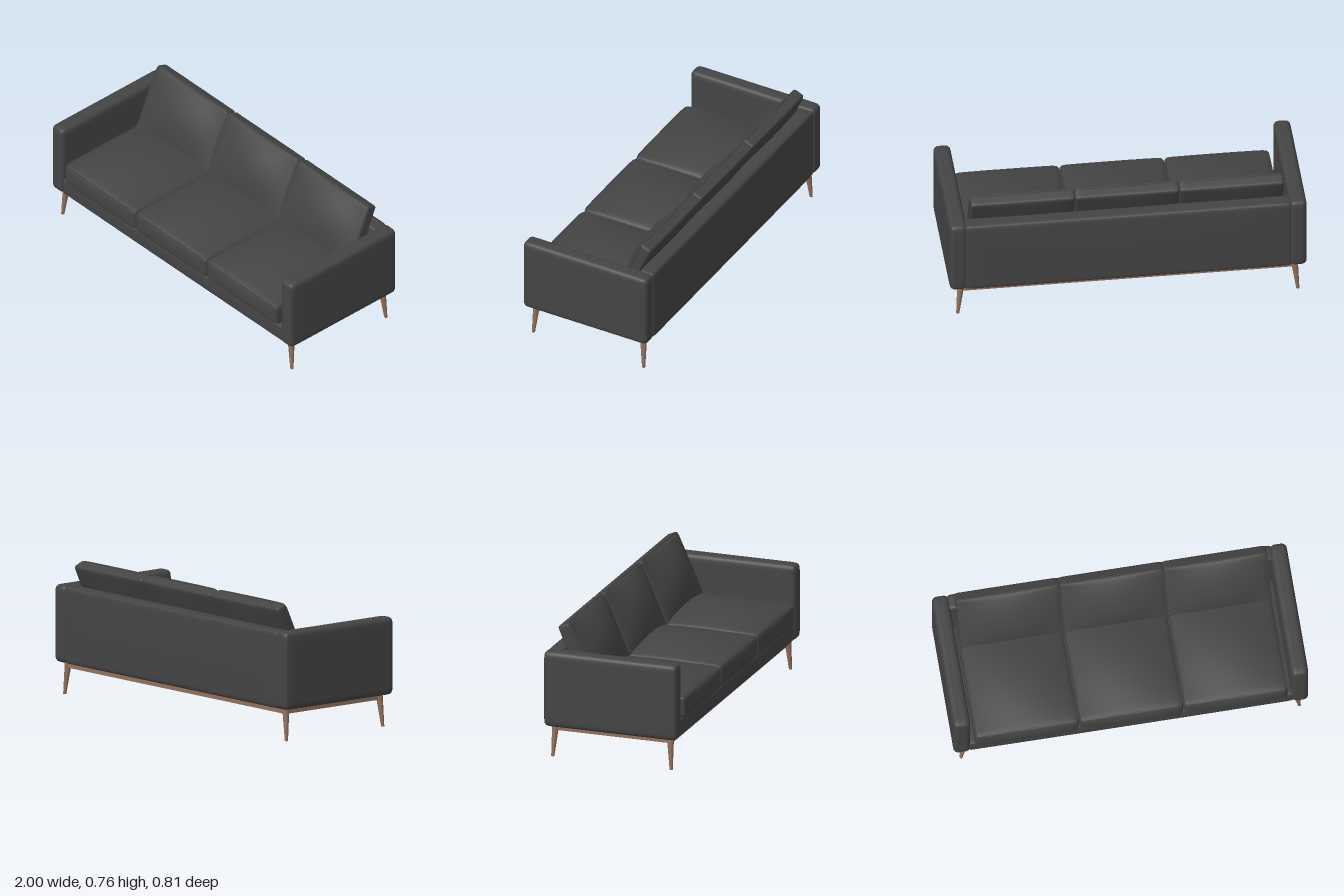
import * as THREE from 'three';
import { mergeVertices } from 'three/addons/utils/BufferGeometryUtils.js';

const fabric = new THREE.MeshStandardMaterial({ color: 0x444444 });
fabric.name = 'charcoalFabric';
const wood = new THREE.MeshStandardMaterial({ color: 0x92705a });
wood.name = 'walnutWood';
const lining = new THREE.MeshStandardMaterial({ color: 0x282828 });
lining.name = 'darkLining';

// Soft box: rounded edges of radius r, with a crown bulging each face along x, y, z.
// crown = { px, nx, py, ny, pz, nz } heights
function softBox(w, h, d, r, crown = {}) {
  let g = new THREE.BoxGeometry(2, 2, 2, 20, 20, 20);
  g.deleteAttribute('uv');
  g.deleteAttribute('normal');
  g = mergeVertices(g);
  const p = g.attributes.position;
  const half = [w / 2, h / 2, d / 2];
  const names = ['x', 'y', 'z'];
  const v = new THREE.Vector3();
  const core = new THREE.Vector3();
  for (let i = 0; i < p.count; i++) {
    v.fromBufferAttribute(p, i);
    // gather the rows near the edges, then round them
    names.forEach((n, k) => {
      v[n] = Math.sin(v[n] * Math.PI / 2) * half[k];
      core[n] = THREE.MathUtils.clamp(v[n], -half[k] + r, half[k] - r);
    });
    v.sub(core);
    if (v.lengthSq() > 0) v.setLength(r);
    v.add(core);
    const f = names.map((n, k) => v[n] / half[k]);
    const lift = f.map((a, k) => {
      const b = f[(k + 1) % 3], c = f[(k + 2) % 3];
      const height = crown[(a > 0 ? 'p' : 'n') + names[k]] || 0;
      return a * Math.abs(a) * (1 - b * b) * (1 - c * c) * height;
    });
    p.setXYZ(i, v.x + lift[0], v.y + lift[1], v.z + lift[2]);
  }
  g.computeVertexNormals();
  return g;
}

// Thin welt following a rounded rectangle in the local xy plane
function welt(w, h, r) {
  const pts = [];
  for (let q = 0; q < 4; q++) {
    const sx = q === 0 || q === 3 ? 1 : -1, sy = q < 2 ? 1 : -1;
    for (let i = 0; i <= 4; i++) {
      const a = (q + i / 4) * Math.PI / 2;
      pts.push(new THREE.Vector3(
        sx * (w / 2 - r) + Math.cos(a) * r, sy * (h / 2 - r) + Math.sin(a) * r, 0));
    }
  }
  const curve = new THREE.CatmullRomCurve3(pts, true, 'centripetal');
  return new THREE.TubeGeometry(curve, 120, 0.004, 6, true);
}

export function createModel() {
  const sofa = new THREE.Group();
  sofa.name = 'sofa';
  const add = (name, geo, mat, x, y, z, parent = sofa) => {
    const m = new THREE.Mesh(geo, mat);
    m.name = name;
    m.position.set(x, y, z);
    parent.add(m);
    return m;
  };

  // Upholstered frame
  add('seatBase', softBox(1.83, 0.1, 0.74, 0.015, { pz: 0.004 }), fabric, 0, 0.231, 0.008);
  add('backPanel', softBox(1.83, 0.435, 0.095, 0.022, { nz: 0.004 }), fabric, 0, 0.398, -0.355);
  const armGeo = softBox(0.096, 0.44, 0.79, 0.03);
  for (const s of [-1, 1]) {
    add(s > 0 ? 'leftArm' : 'rightArm', armGeo, fabric, s * 0.952, 0.4, -0.008);
  }
  add('underside', new THREE.BoxGeometry(1.84, 0.006, 0.72), lining, 0, 0.18, -0.008);

  // Three seat cushions and three leaning back cushions
  const seatGeo = softBox(0.586, 0.13, 0.695, 0.024, { py: 0.055, pz: 0.01 });
  const backGeo = softBox(0.584, 0.4, 0.07, 0.016, { pz: 0.055, nz: 0.012 });
  const seatWelt = welt(0.576, 0.685, 0.024);
  const backWelt = welt(0.578, 0.394, 0.02);
  ['right', 'middle', 'left'].forEach((side, i) => {
    const x = (i - 1) * 0.588;
    const seat = new THREE.Group();
    seat.name = side + 'SeatCushion';
    seat.position.set(x, 0.345, 0.0475);
    add('seatPad', seatGeo, fabric, 0, 0, 0, seat);
    add('seatWelt', seatWelt, fabric, 0, 0.057, 0, seat).rotation.x = -Math.PI / 2;
    const back = new THREE.Group();
    back.name = side + 'BackCushion';
    back.position.set(x * 0.995, 0.563, -0.251);
    back.rotation.x = -0.419;
    add('backPad', backGeo, fabric, 0, 0, 0, back);
    add('backWelt', backWelt, fabric, 0, 0, 0.029, back);
    sofa.add(seat, back);
  });

  // Wooden rails under the frame
  for (const z of [0.33, -0.35]) {
    add(z > 0 ? 'frontRail' : 'backRail', new THREE.BoxGeometry(1.87, 0.032, 0.024), wood, 0, 0.167, z);
  }
  for (const s of [-1, 1]) {
    add(s > 0 ? 'leftRail' : 'rightRail', new THREE.BoxGeometry(0.024, 0.032, 0.68), wood, s * 0.932, 0.167, -0.01);
  }

  // Tapered legs, sheared so the feet splay outwards but stay flat
  for (const sx of [-1, 1]) {
    for (const sz of [-1, 1]) {
      const g = new THREE.CylinderGeometry(0.02, 0.009, 0.184, 20, 1);
      g.applyMatrix4(new THREE.Matrix4().set(
        1, -sx * 0.1, 0, 0,
        0, 1, 0, 0,
        0, -sz * 0.06, 1, 0,
        0, 0, 0, 1));
      const name = (sz > 0 ? 'front' : 'back') + (sx > 0 ? 'Left' : 'Right') + 'Leg';
      add(name, g, wood, sx * 0.943, 0.092, -0.01 + sz * 0.3455);
    }
  }
  return sofa;
}
